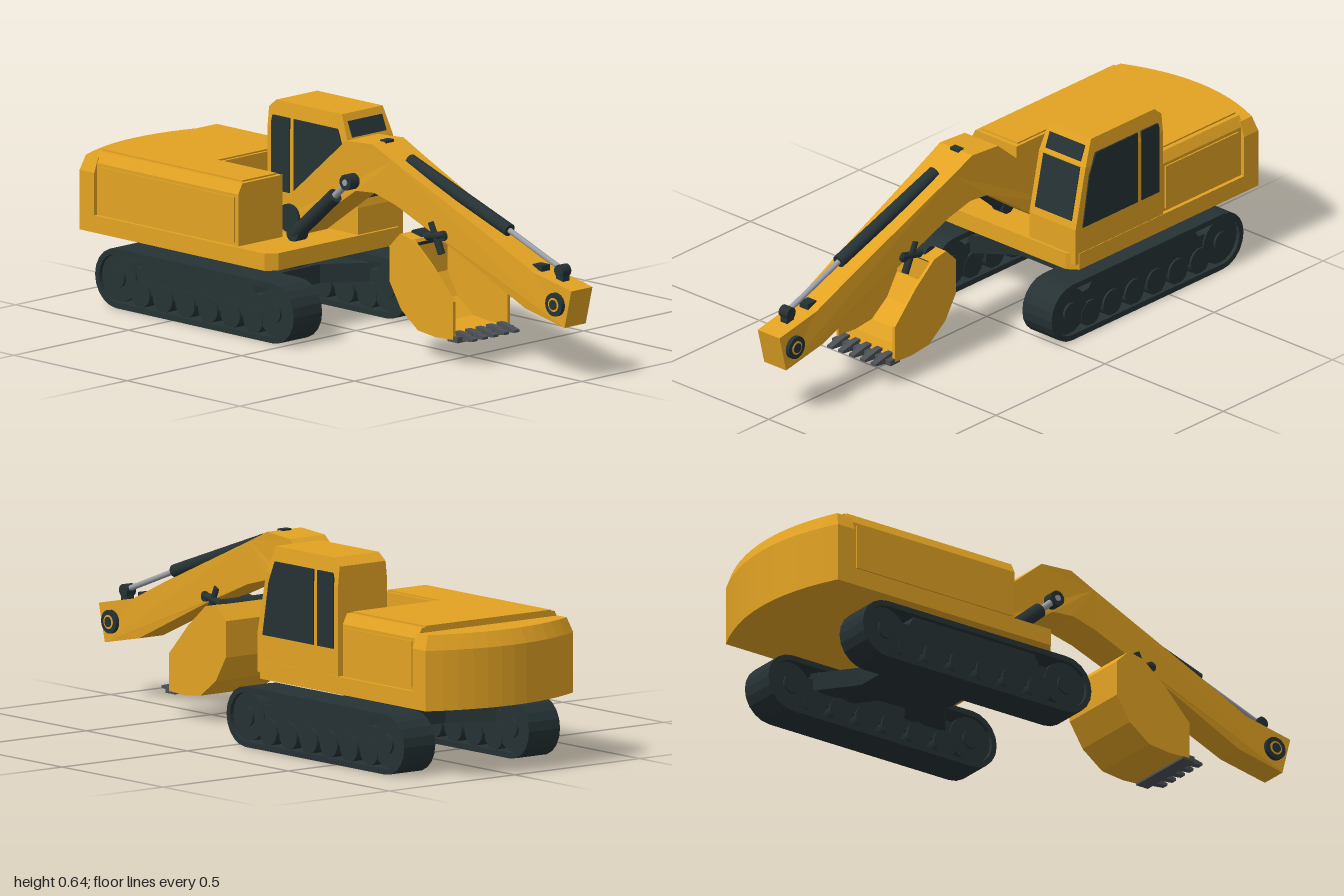
import * as THREE from 'three';

const paint = (name, color) => {
  const m = new THREE.MeshStandardMaterial({ color });
  m.name = name;
  return m;
};

export function createModel() {
  const root = new THREE.Group();
  root.name = 'excavator';
  const yellow = paint('yellow paint', 0xe3a323);
  const dark = paint('dark steel and glass', 0x263234);
  const silver = paint('polished rod', 0x9b9fa6);
  const grey = paint('worn steel', 0x4c5156);

  const add = (name, geo, mat, parent = root) => {
    const m = new THREE.Mesh(geo, mat);
    m.name = name;
    parent.add(m);
    return m;
  };
  const shapeOf = pts => new THREE.Shape(pts.map(p => new THREE.Vector2(p[0], p[1])));
  // side profile (x, y) extruded across z
  const profile = (pts, z0, z1, holes = []) => {
    const s = shapeOf(pts);
    holes.forEach(h => s.holes.push(new THREE.Path(h.map(p => new THREE.Vector2(p[0], p[1])))));
    return new THREE.ExtrudeGeometry(s, { depth: z1 - z0, bevelEnabled: false }).translate(0, 0, z0);
  };
  // floor plan (x, z) extruded upwards
  const plan = (pts, y0, y1) =>
    new THREE.ExtrudeGeometry(shapeOf(pts.map(([x, z]) => [x, -z])), { depth: y1 - y0, bevelEnabled: false })
      .rotateX(-Math.PI / 2).translate(0, y0, 0);
  // move vertices by a rule, keeping flat faces
  const warp = (geo, rule) => {
    const p = geo.attributes.position, v = new THREE.Vector3();
    for (let i = 0; i < p.count; i++) {
      v.fromBufferAttribute(p, i);
      rule(v);
      p.setXYZ(i, v.x, v.y, v.z);
    }
    geo.computeVertexNormals();
    return geo;
  };
  const box = (x0, x1, y0, y1, z0, z1) =>
    new THREE.BoxGeometry(x1 - x0, y1 - y0, z1 - z0).translate((x0 + x1) / 2, (y0 + y1) / 2, (z0 + z1) / 2);
  const pin = (name, x, y, r, z0, z1, mat = dark, parent = root) =>
    add(name, new THREE.CylinderGeometry(r, r, z1 - z0, 20).rotateX(Math.PI / 2).translate(x, y, (z0 + z1) / 2), mat, parent);
  const rod = (name, a, b, r, mat) => {
    const A = new THREE.Vector3(...a), B = new THREE.Vector3(...b);
    const m = add(name, new THREE.CylinderGeometry(r, r, A.distanceTo(B), 16), mat);
    m.position.copy(A).add(B).multiplyScalar(0.5);
    m.quaternion.setFromUnitVectors(new THREE.Vector3(0, 1, 0), B.sub(A).normalize());
  };

  // Crawler tracks
  const stadium = (r, n = 10) => {
    const pts = [];
    for (const [cx, start] of [[-0.055, -Math.PI / 2], [-0.745, Math.PI / 2]])
      for (let i = 0; i <= n; i++) {
        const a = start + Math.PI * i / n;
        pts.push([cx + r * Math.cos(a), 0.095 + r * Math.sin(a)]);
      }
    return pts;
  };
  for (const s of [1, -1]) {
    const track = new THREE.Group();
    track.name = s > 0 ? 'leftTrack' : 'rightTrack';
    track.position.z = s * 0.249;
    root.add(track);
    add('trackBelt', profile(stadium(0.095), -0.062, 0.062, [stadium(0.077)]), dark, track);
    add('trackFrame', profile([[-0.74, 0.06], [-0.06, 0.06], [-0.06, 0.135], [-0.15, 0.14], [-0.17, 0.175],
      [-0.63, 0.175], [-0.65, 0.14], [-0.74, 0.135]], -0.045, 0.045), dark, track);
    for (const x of [-0.745, -0.055]) {
      pin('endWheel', x, 0.095, 0.076, -0.05, 0.05, dark, track);
      pin('wheelHub', x, 0.095, 0.03, -0.058, 0.058, dark, track);
    }
    for (let i = 0; i < 6; i++) pin('roller', -0.652 + i * 0.1, 0.058, 0.043, -0.052, 0.052, dark, track);
  }

  // Undercarriage and slewing ring
  add('carBody', plan([[-0.66, 0.21], [-0.5, 0.21], [-0.45, 0.14], [-0.35, 0.14], [-0.3, 0.21], [-0.14, 0.21],
    [-0.24, 0.08], [-0.24, -0.08], [-0.14, -0.21], [-0.3, -0.21], [-0.35, -0.14], [-0.45, -0.14],
    [-0.5, -0.21], [-0.66, -0.21], [-0.56, -0.08], [-0.56, 0.08]], 0.1, 0.16), dark);
  add('slewingRing', new THREE.CylinderGeometry(0.17, 0.17, 0.035, 32).translate(-0.4, 0.203, 0), dark);
  add('slewingBase', new THREE.CylinderGeometry(0.145, 0.145, 0.05, 32).translate(-0.4, 0.175, 0), dark);

  // Deck
  add('deck', plan([[-0.87, 0.295], [-0.105, 0.295], [-0.08, 0.26], [-0.08, -0.26], [-0.105, -0.295],
    [-0.87, -0.295]], 0.22, 0.275), yellow);

  // Counterweight with a curved rear and a bevelled top edge
  const rear = [[-0.86, 0.295], [-0.925, 0.295]];
  for (let i = 1; i < 12; i++) {
    const z = 0.295 - 0.59 * i / 12;
    rear.push([-1 + 0.075 * (z / 0.295) ** 2, z]);
  }
  rear.push([-0.925, -0.295], [-0.86, -0.295]);
  add('counterweight', plan(rear, 0.22, 0.41), yellow);
  add('counterweightTop', warp(plan(rear, 0.41, 0.457), v => {
    if (v.y > 0.43) { v.x = -0.86 + (v.x + 0.86) * 0.84; v.z *= 0.94; }
  }), yellow);

  // Engine house, L-shaped around the boom pocket
  const house = (x0, x1, z0, z1, outer) => {
    add('engineHouse', box(x0, x1, 0.275, 0.44, z0, z1), yellow);
    add('engineHouseShoulder', warp(box(x0, x1, 0.44, 0.473, z0, z1).toNonIndexed(), v => {
      if (v.y > 0.45 && outer(v.z)) v.z *= 0.94;
    }), yellow);
  };
  house(-0.87, -0.5, -0.282, 0.282, () => true);
  house(-0.5, -0.235, 0.09, 0.282, z => z > 0.2);
  add('hoodLid', plan([[-0.87, 0.25], [-0.25, 0.25], [-0.25, 0.1], [-0.51, 0.1], [-0.51, -0.25], [-0.87, -0.25]],
    0.473, 0.478), yellow);
  add('sidePanel', box(-0.845, -0.25, 0.285, 0.43, 0.282, 0.287), yellow);
  add('sidePanel', box(-0.845, -0.51, 0.285, 0.43, -0.287, -0.282), yellow);

  // Cab, narrowing towards the roof
  const cz = -0.195;
  add('cabBody', profile([[-0.49, 0.24], [-0.09, 0.24], [-0.09, 0.36], [-0.135, 0.56], [-0.49, 0.56]], cz - 0.098, cz + 0.098), yellow);
  add('cabRoof', warp(profile([[-0.49, 0.56], [-0.135, 0.56], [-0.17, 0.645], [-0.46, 0.645], [-0.49, 0.62]],
    cz - 0.098, cz + 0.098), v => { v.z = cz + (v.z - cz) * (1 - (v.y - 0.56) * 1.1); }), yellow);
  for (const z of [cz - 0.102, cz + 0.096]) {
    add('rearSideWindow', profile([[-0.47, 0.36], [-0.39, 0.36], [-0.39, 0.598], [-0.465, 0.598], [-0.47, 0.58]], z, z + 0.006), dark);
    add('doorWindow', profile([[-0.372, 0.36], [-0.12, 0.36], [-0.15, 0.53], [-0.18, 0.598], [-0.372, 0.598]], z, z + 0.006), dark);
  }
  // front panes lie along the sloping cab face
  const pane = (name, [xa, ya], [xb, yb], halfWidth) => {
    const m = add(name, new THREE.BoxGeometry(0.006, Math.hypot(xb - xa, yb - ya), halfWidth * 2), dark);
    m.position.set((xa + xb) / 2, (ya + yb) / 2, cz);
    m.rotation.z = Math.atan2(xa - xb, yb - ya);
  };
  pane('windscreen', [-0.095, 0.385], [-0.134, 0.556], 0.077);
  pane('upperWindscreen', [-0.14, 0.573], [-0.16, 0.622], 0.074);

  // Boom, tapering towards the tip
  add('boom', warp(profile([[-0.33, 0.29], [-0.2, 0.28], [-0.03, 0.4], [0.07, 0.468], [0.15, 0.474], [0.24, 0.45],
    [0.46, 0.36], [0.8, 0.207], [0.97, 0.173], [1, 0.294], [0.83, 0.328], [0.66, 0.405], [0.23, 0.588],
    [0.14, 0.628], [0.025, 0.62], [-0.22, 0.41], [-0.33, 0.36]], -0.07, 0.07), v => {
    v.z *= 1 - 0.34 * THREE.MathUtils.clamp((v.x - 0.1) / 0.75, 0, 1);
  }), yellow);
  pin('boomFootPin', -0.22, 0.335, 0.045, -0.08, 0.08);
  add('boomTopFitting', box(0.125, 0.15, 0.61, 0.632, -0.018, 0.018), dark);
  add('tipBracket', box(0.8, 0.84, 0.315, 0.345, -0.018, 0.018), dark);
  for (const s of [1, -1]) {
    const [a, b] = s > 0 ? [0.04, 0.06] : [-0.06, -0.04];
    pin('tipPin', 0.935, 0.243, 0.037, a, b);
    pin('tipPinRing', 0.935, 0.243, 0.022, a - 0.002, b + 0.002, yellow);
    pin('tipPinCore', 0.935, 0.243, 0.016, a - 0.004, b + 0.004);
  }

  // Boom cylinder
  pin('boomCylinderFoot', -0.17, 0.298, 0.025, 0.065, 0.112);
  rod('boomCylinder', [-0.17, 0.298, 0.091], [0, 0.445, 0.091], 0.024, dark);
  rod('boomCylinderRod', [0, 0.445, 0.091], [0.06, 0.498, 0.091], 0.011, silver);
  pin('boomCylinderEye', 0.06, 0.498, 0.025, 0.06, 0.107);
  pin('boomCylinderEyeCap', 0.06, 0.498, 0.01, 0.1, 0.11, silver);

  // Long cylinder on top of the boom
  rod('armCylinder', [0.24, 0.582, 0], [0.68, 0.43, 0], 0.021, dark);
  rod('armCylinderRod', [0.68, 0.43, 0], [0.915, 0.342, 0], 0.009, silver);
  pin('armCylinderEye', 0.915, 0.34, 0.02, -0.018, 0.018);
  add('armCylinderMount', box(0.9, 0.93, 0.29, 0.34, -0.014, 0.014), dark);

  // Bucket: curved shell, side plates, lip and teeth
  const outer = [[0.375, 0.37], [0.32, 0.38], [0.275, 0.335], [0.275, 0.22], [0.325, 0.14], [0.4, 0.085], [0.48, 0.076], [0.555, 0.08]];
  const inner = outer.map(([x, y]) => [0.44 + (x - 0.44) * 0.92, 0.24 + (y - 0.24) * 0.92]).reverse();
  add('bucketShell', profile([...outer, ...inner], -0.122, 0.122), yellow);
  for (const z of [-0.124, 0.114])
    add('bucketSide', profile([...outer, [0.555, 0.2], [0.46, 0.3]], z, z + 0.01), yellow);
  add('bucketLip', box(0.53, 0.575, 0.072, 0.09, -0.123, 0.123), grey);
  for (let i = -2; i <= 2; i++)
    add('bucketTooth', profile([[0.54, 0.072], [0.62, 0.08], [0.62, 0.088], [0.56, 0.102], [0.54, 0.102]],
      i * 0.046 - 0.011, i * 0.046 + 0.011), grey);

  // Bucket linkage
  pin('bucketPin', 0.345, 0.365, 0.026, -0.08, 0.08);
  pin('linkPin', 0.45, 0.385, 0.016, -0.07, 0.07);
  for (const s of [1, -1]) {
    rod('bucketLink', [0.345, 0.365, s * 0.062], [0.46, 0.39, s * 0.062], 0.012, dark);
    rod('bucketLever', [0.395, 0.42, s * 0.06], [0.44, 0.325, s * 0.06], 0.012, dark);
  }
  return root;
}
